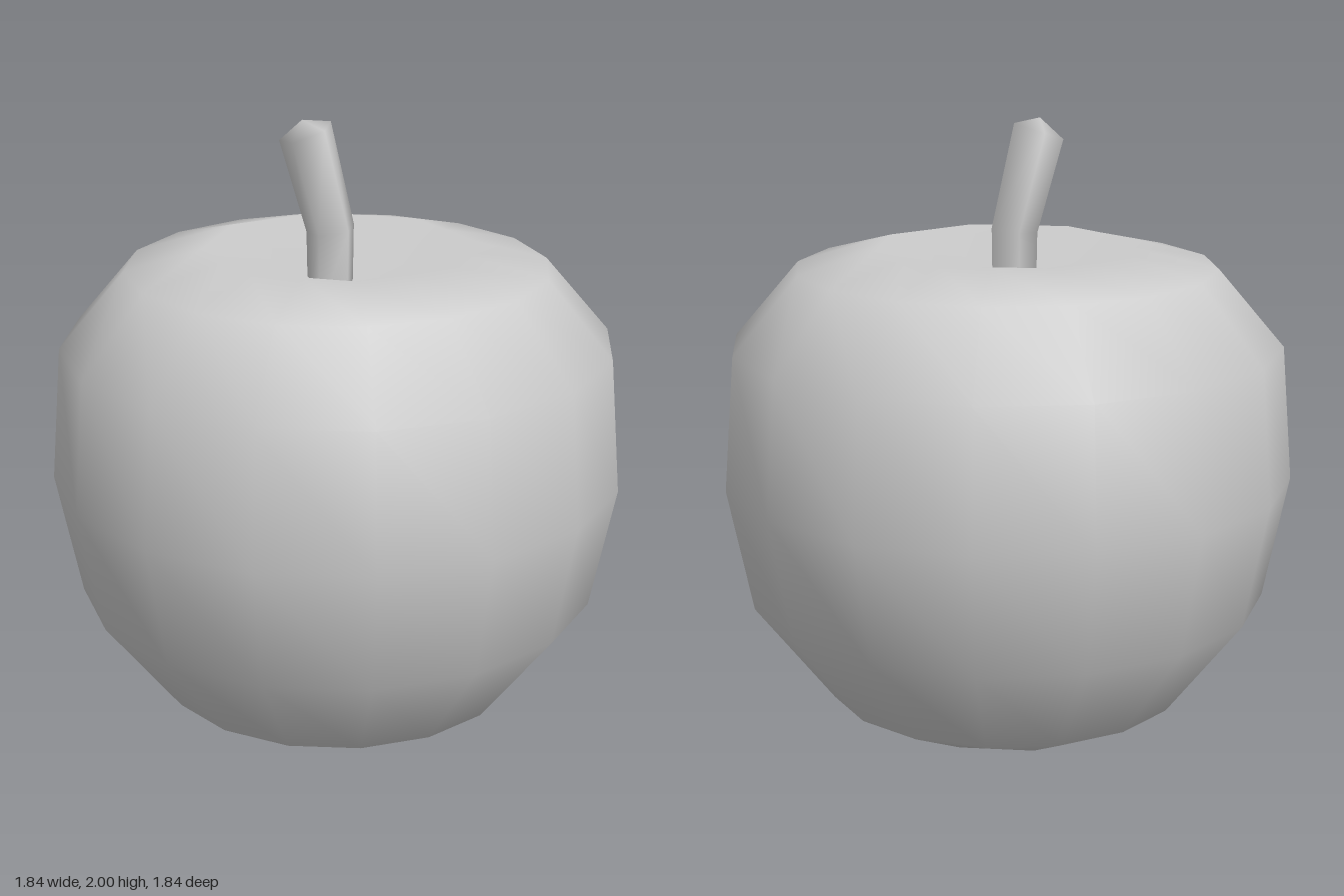
import * as THREE from 'three';
import { mergeVertices } from 'three/addons/utils/BufferGeometryUtils.js';

const grey = new THREE.MeshStandardMaterial({ color: 0xcccccc });

// Welds the seam and poles so the whole surface shades smoothly
function smooth(geometry) {
  geometry.deleteAttribute('normal');
  geometry.deleteAttribute('uv');
  const welded = mergeVertices(geometry, 1e-4);
  welded.computeVertexNormals();
  return welded;
}

// Round body: 16 sides, with eight-sided rims around the top and bottom dimples
function makeBody() {
  const sides = 16;
  const profile = [
    [0, 0.06], [0.315, 0], [0.585, 0.13], [0.84, 0.46], [0.92, 0.86],
    [0.885, 1.29], [0.675, 1.535], [0.43, 1.6], [0, 1.46],
  ].map(([r, y]) => new THREE.Vector2(r, y));
  const geometry = new THREE.LatheGeometry(profile, sides);
  const pos = geometry.attributes.position;
  const n = profile.length;
  for (let i = 0; i < pos.count; i++) {
    const side = Math.floor(i / n), ring = i % n;
    if (side % 2 === 1 && (ring === 1 || ring === n - 2)) {
      const k = Math.cos(Math.PI / 8);
      pos.setXYZ(i, pos.getX(i) * k, pos.getY(i), pos.getZ(i) * k);
    }
  }
  return new THREE.Mesh(smooth(geometry), grey);
}

// Bent five-sided stem with a low pointed cap
function makeStem() {
  const sides = 5;
  // centre x, centre y, radius, tilt
  const sections = [
    [-0.02, 1.4, 0.075, 0], [-0.02, 1.65, 0.08, 0.14],
    [-0.098, 1.96, 0.09, 0.33], [-0.11, 2.0, 0, 0.33],
  ];
  const points = [], index = [];
  sections.forEach(([cx, cy, r, tilt], j) => {
    for (let k = 0; k < sides; k++) {
      const a = -Math.PI / 2 + (k / sides) * Math.PI * 2;
      const u = r * Math.cos(a);
      points.push(cx + u * Math.cos(tilt), cy + u * Math.sin(tilt), r * Math.sin(a));
      if (j === 0) continue;
      const next = (k + 1) % sides;
      const a0 = (j - 1) * sides + k, b0 = (j - 1) * sides + next;
      const a1 = j * sides + k, b1 = j * sides + next;
      index.push(a0, a1, b0);
      if (r > 0) index.push(a1, b1, b0);
    }
  });
  const geometry = new THREE.BufferGeometry();
  geometry.setAttribute('position', new THREE.Float32BufferAttribute(points, 3));
  geometry.setIndex(index);
  return new THREE.Mesh(smooth(geometry), grey);
}

export function createModel() {
  const model = new THREE.Group();
  model.name = 'apple';
  const body = makeBody();
  body.name = 'body';
  const stem = makeStem();
  stem.name = 'stem';
  model.add(body, stem);
  return model;
}
